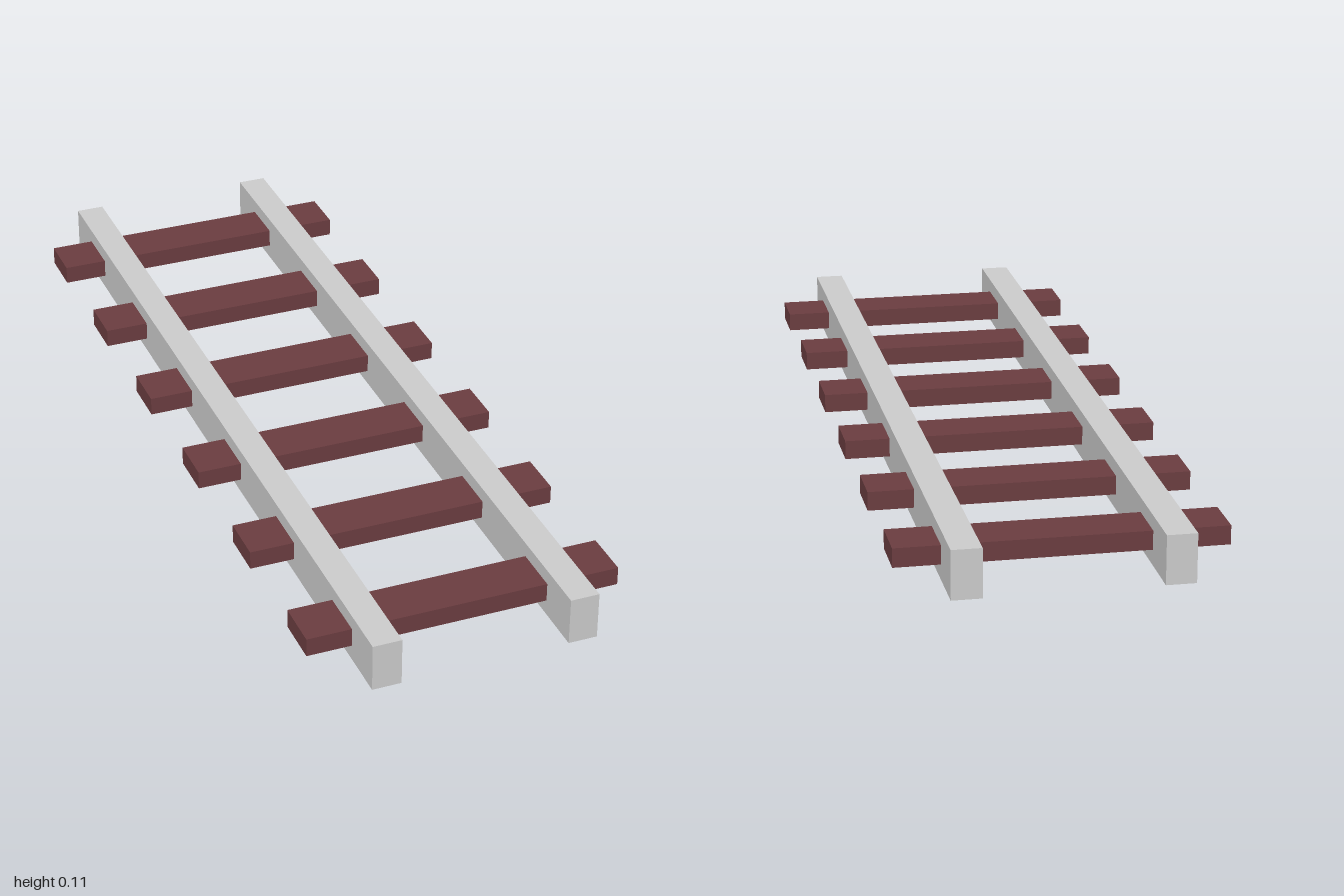
import * as THREE from 'three';

const RAIL = { width: 0.065, height: 0.108, length: 2, x: 0.2205 };
const SLEEPER = { width: 0.706, height: 0.042, depth: 0.11, y: 0.055, count: 6, spacing: 1 / 3 };

export function createModel() {
  const track = new THREE.Group();
  track.name = 'railwayTrack';
  const steel = new THREE.MeshStandardMaterial({ color: 0xcccccc });
  const wood = new THREE.MeshStandardMaterial({ color: 0x6b3d40 });

  const addPart = (name, geometry, material, x, y, z) => {
    const mesh = new THREE.Mesh(geometry, material);
    mesh.name = name;
    mesh.position.set(x, y, z);
    track.add(mesh);
  };

  // Two parallel rails standing on the ground
  const railGeometry = new THREE.BoxGeometry(RAIL.width, RAIL.height, RAIL.length);
  addPart('leftRail', railGeometry, steel, RAIL.x, RAIL.height / 2, 0);
  addPart('rightRail', railGeometry, steel, -RAIL.x, RAIL.height / 2, 0);

  // Evenly spaced sleepers passing through both rails
  const sleeperGeometry = new THREE.BoxGeometry(SLEEPER.width, SLEEPER.height, SLEEPER.depth);
  for (let i = 0; i < SLEEPER.count; i++) {
    const z = (i - (SLEEPER.count - 1) / 2) * SLEEPER.spacing;
    addPart(`sleeper${i + 1}`, sleeperGeometry, wood, 0, SLEEPER.y, z);
  }
  return track;
}
